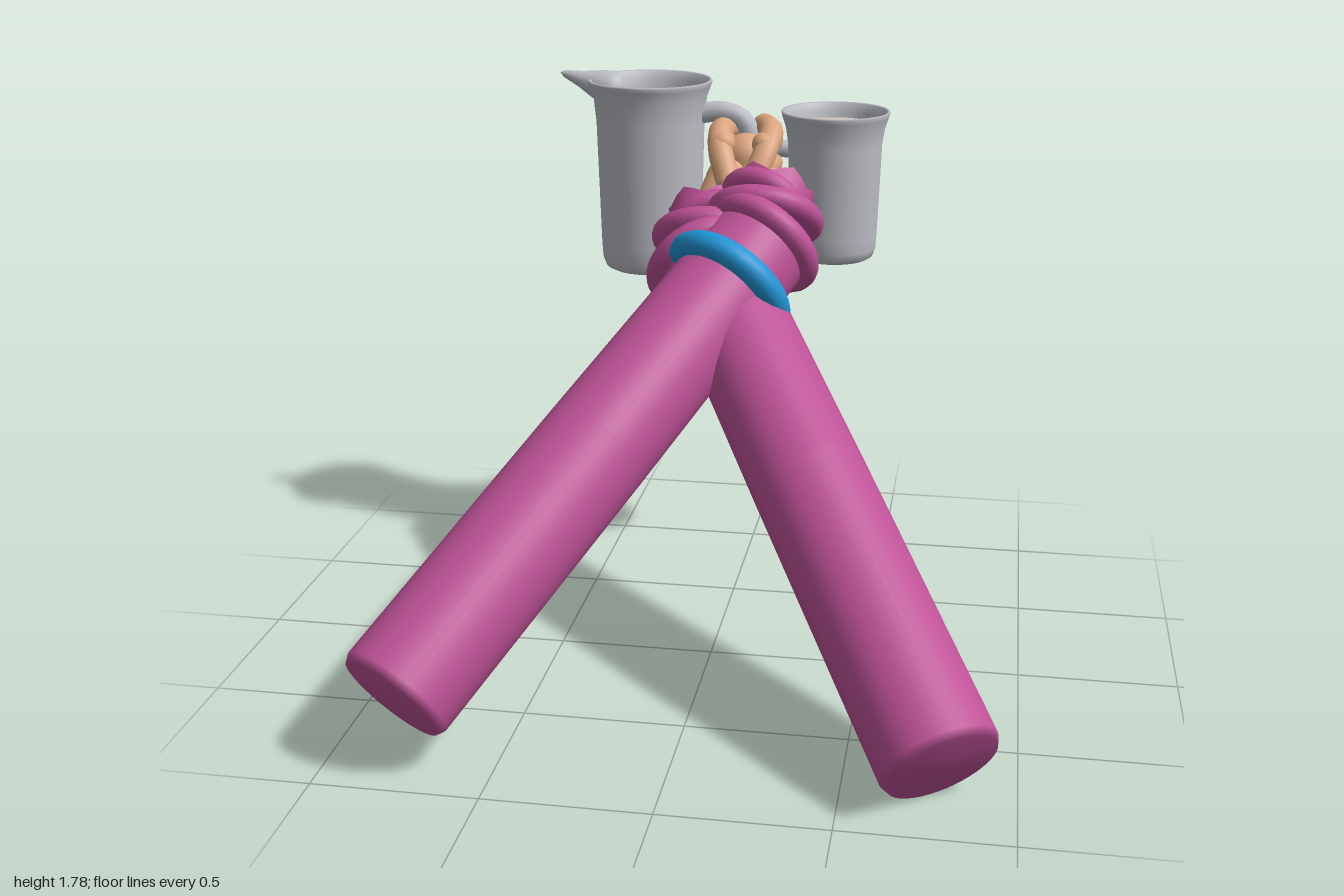
import * as THREE from 'three';

const V = (x, y, z) => new THREE.Vector3(x, y, z);
const paint = (name, color, side = THREE.FrontSide) => {
  const m = new THREE.MeshStandardMaterial({ color, side });
  m.name = name;
  return m;
};

export function createModel() {
  const cloth = paint('sleeve magenta', 0xbd5296, THREE.DoubleSide);
  const skin = paint('skin tan', 0xdca67f);
  const metal = paint('silver', 0xbcbec5);
  const blue = paint('band blue', 0x2196d6);
  const coffee = paint('drink brown', 0xac6e38);
  const foam = paint('foam cream', 0xd2c8b6);

  const root = new THREE.Group();
  const add = (parent, name, geo, mat, pos) => {
    const mesh = new THREE.Mesh(geo, mat);
    mesh.name = name;
    if (pos) mesh.position.copy(pos);
    parent.add(mesh);
    return mesh;
  };
  const group = (name) => {
    const g = new THREE.Group();
    g.name = name;
    root.add(g);
    return g;
  };
  const lathe = (pts, seg = 40) =>
    new THREE.LatheGeometry(pts.map(([r, y]) => new THREE.Vector2(r, y)), seg);
  const tube = (pts, r) =>
    new THREE.TubeGeometry(new THREE.CatmullRomCurve3(pts), 24, r, 12);
  const aim = (mesh, axis, dir) =>
    mesh.quaternion.setFromUnitVectors(axis, dir.clone().normalize());
  const ring = (parent, name, mat, pos, dir, R, r) =>
    aim(add(parent, name, new THREE.TorusGeometry(R, r, 14, 40), mat, pos), V(0, 0, 1), dir);
  // Tube with a rounded tip at both ends
  const limb = (parent, name, pts, r) => {
    add(parent, name, tube(pts, r), skin);
    for (const p of [pts[0], pts[pts.length - 1]])
      add(parent, name + 'Tip', new THREE.SphereGeometry(r, 14, 10), skin, p);
  };

  // Two sleeves that cross near the wrists, with rolled cuffs
  const arms = [
    { name: 'rightArm', s: 1, foot: V(-0.79, 0.23, 0.87) },
    { name: 'leftArm', s: -1, foot: V(0.79, 0.15, 0.86) },
  ];
  for (const { name, s, foot } of arms) {
    const arm = group(name);
    const dir = V(0.458 * s, 0.547, -0.702).normalize();
    const at = (t) => foot.clone().addScaledVector(dir, t);
    const r = 0.18, L = 1.95;
    const sleeve = add(arm, 'sleeve', lathe([
      [0, 0], [r * 0.93, 0.004], [r, 0.03], [r, 1], [r * 0.97, L - 0.02],
      [r * 0.85, L + 0.03], [0, L + 0.07],
    ]), cloth, foot);
    aim(sleeve, V(0, 1, 0), dir);

    const c = at(1.93);
    ring(arm, 'lowerCuffRoll', cloth, c, dir, 0.172, 0.042);
    ring(arm, 'upperCuffRoll', cloth, c.clone().add(V(0.0, 0.07, -0.06)),
      V(0.05 * s, 0.75, -0.6), 0.158, 0.04);
    ring(arm, 'innerCuffRoll', cloth, c.clone().add(V(-0.01 * s, 0.1, -0.09)),
      V(0.3 * s, 0.45, -0.8), 0.125, 0.035);

    // Ragged hem rising out of the cuff
    const hem = new THREE.CylinderGeometry(0.14, 0.13, 0.1, 24, 1, true);
    const p = hem.attributes.position;
    for (let i = 0; i < p.count; i++)
      if (p.getY(i) > 0) p.setY(i, 0.05 + 0.02 * Math.cos(Math.atan2(p.getZ(i), p.getX(i)) * 6));
    hem.computeVertexNormals();
    const wristBase = c.clone().add(V(0.01 * s, 0.11, -0.1));
    aim(add(arm, 'hem', hem, cloth, wristBase), V(0, 1, 0), V(0.1 * s, 0.6, -0.75));

    // Wrist, palm and thumb
    const hand = V(0.055 * s, 1.45, -0.68);
    limb(arm, 'wrist', [wristBase.clone().add(V(0, -0.03, 0.03)),
      wristBase.clone().lerp(hand, 0.5), hand], 0.075);
    limb(arm, 'thumb', [V(0.04 * s, 1.46, -0.6), V(0.075 * s, 1.55, -0.66),
      V(0.085 * s, 1.605, -0.74), V(0.05 * s, 1.61, -0.84)], 0.042);
  }

  // Blue band around the right wrist
  ring(root, 'wristBand', blue, V(0, 1.165, -0.345), V(0.458, 0.547, -0.702), 0.192, 0.045);

  // Clasped fingers, stacked in four rows
  const hands = group('claspedFingers');
  for (let i = 0; i < 4; i++) {
    const y = 1.34 + i * 0.078;
    limb(hands, 'finger', [V(-0.07, y, -0.68), V(-0.08, y, -0.78), V(-0.045, y, -0.85),
      V(0.045, y, -0.85), V(0.08, y, -0.78), V(0.07, y, -0.68)], 0.042);
  }
  add(hands, 'palmCore', new THREE.CapsuleGeometry(0.08, 0.14, 6, 16), skin, V(0, 1.45, -0.75));

  // Flared vessel: rounded foot, rolled lip and hollow mouth
  const vessel = (g, pos, R, h, depth) => add(g, 'body', lathe([
    [0, 0], [R * 0.66, 0.002], [R * 0.75, 0.012], [R * 0.8, 0.04], [R * 0.815, 0.09],
    [R * 0.87, h * 0.78], [R * 0.91, h - 0.06], [R * 0.98, h - 0.02], [R, h - 0.006],
    [R * 0.985, h], [R * 0.94, h - 0.003], [R * 0.88, h - 0.03], [R * 0.84, h - 0.07],
    [R * 0.82, h - depth - 0.03], [0, h - depth - 0.03],
  ], 48), metal, pos);

  // Pitcher with drink, spout and handle
  const pitcher = group('pitcher');
  vessel(pitcher, V(-0.34, 1.11, -0.785), 0.214, 0.66, 0.09);
  add(pitcher, 'drink', new THREE.CylinderGeometry(0.178, 0.178, 0.008, 40), coffee,
    V(-0.34, 1.685, -0.785));
  const spout = add(pitcher, 'spout', lathe([
    [0, 0], [0.04, 0.012], [0.06, 0.04], [0.062, 0.07], [0.05, 0.11], [0.028, 0.17],
    [0.012, 0.23], [0, 0.245],
  ], 24), metal, V(-0.42, 1.715, -0.785));
  aim(spout, V(0, 1, 0), V(-0.235, 0.07, 0));
  add(pitcher, 'handle', tube([V(-0.17, 1.655, -0.785), V(-0.09, 1.665, -0.785),
    V(-0.02, 1.64, -0.785), V(0.015, 1.56, -0.785), V(0.015, 1.36, -0.785),
    V(-0.02, 1.26, -0.785), V(-0.09, 1.22, -0.785), V(-0.18, 1.22, -0.785)], 0.035), metal);

  // Cup with foam-topped drink and handle
  const cup = group('cup');
  vessel(cup, V(0.3, 1.17, -0.78), 0.184, 0.51, 0.06);
  add(cup, 'drink', new THREE.CylinderGeometry(0.156, 0.156, 0.008, 40), coffee,
    V(0.3, 1.622, -0.78));
  add(cup, 'foam', lathe([[0.142, 0], [0.138, 0.008], [0.1, 0.014], [0, 0.016]]), foam,
    V(0.3, 1.624, -0.78));
  add(cup, 'handle', tube([V(0.16, 1.54, -0.785), V(0.08, 1.54, -0.785), V(0.03, 1.48, -0.785),
    V(0.03, 1.34, -0.785), V(0.08, 1.27, -0.785), V(0.17, 1.26, -0.785)], 0.03), metal);

  return root;
}
